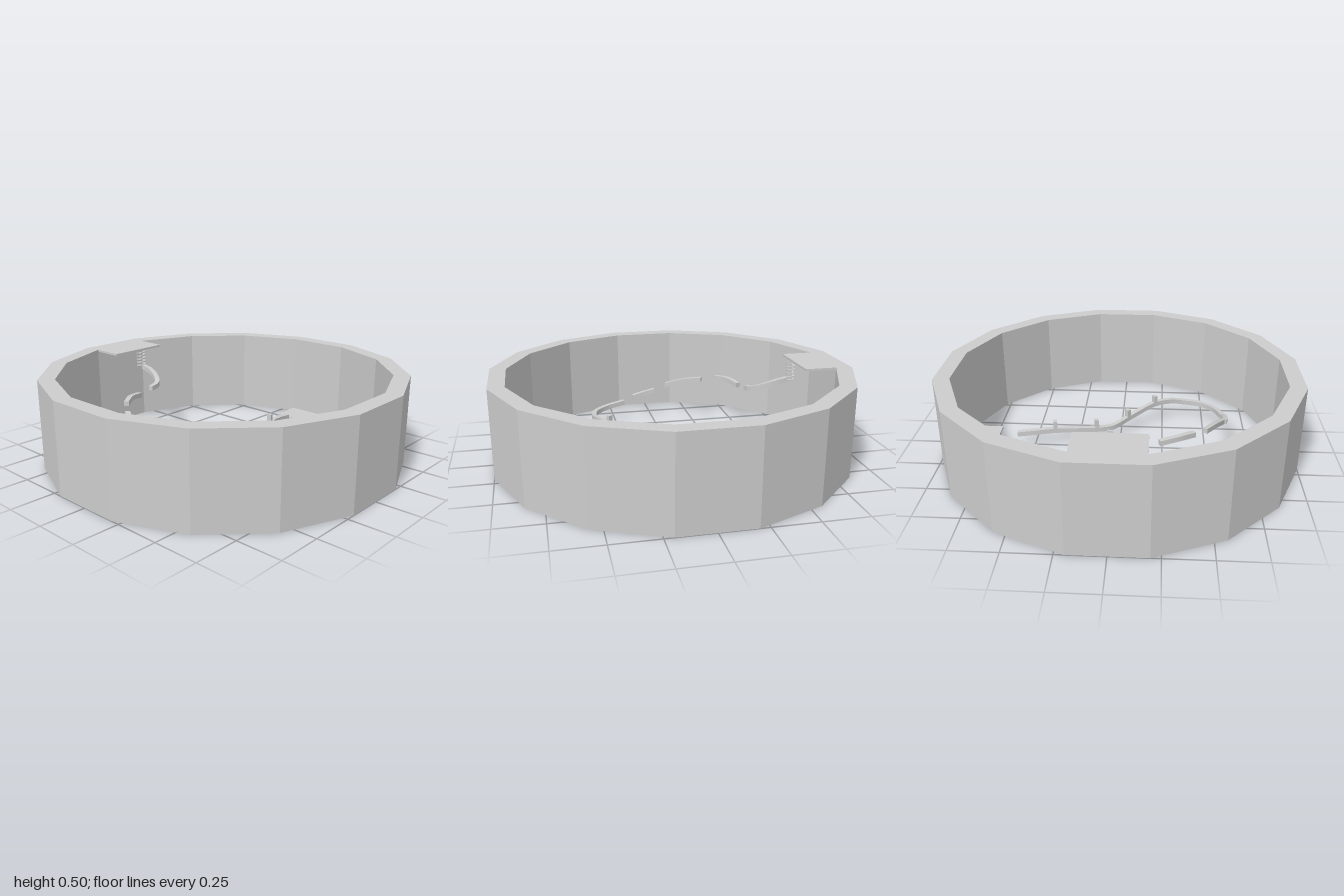
import * as THREE from 'three';

const stone = new THREE.MeshStandardMaterial({ color: 0xcccccc });
stone.name = 'light grey';

function add(group, name, geometry, x = 0, y = 0, z = 0) {
  const mesh = new THREE.Mesh(geometry, stone);
  mesh.name = name;
  mesh.position.set(x, y, z);
  group.add(mesh);
  return mesh;
}

// Sixteen-sided outline with flats facing the axes
function outline(path, apothem) {
  const r = apothem / Math.cos(Math.PI / 16);
  const points = [];
  for (let i = 0; i < 16; i++) {
    const a = (i + 0.5) * Math.PI / 8;
    points.push(new THREE.Vector2(r * Math.cos(a), r * Math.sin(a)));
  }
  return path.setFromPoints(points);
}

// Rectangular bar swept along points, kept upright, flat-shaded
function sweep(points, w, h) {
  const up = new THREE.Vector3(0, 1, 0);
  const pos = [], index = [];
  const n = points.length;
  points.forEach((p, i) => {
    const t = points[Math.min(i + 1, n - 1)].clone().sub(points[Math.max(i - 1, 0)]);
    const side = t.cross(up).normalize();
    for (const [a, b] of [[-1, -1], [1, -1], [1, 1], [-1, 1]]) {
      const c = p.clone().addScaledVector(side, a * w / 2).addScaledVector(up, b * h / 2);
      pos.push(c.x, c.y, c.z);
    }
    if (i < n - 1) {
      for (let j = 0; j < 4; j++) {
        const a = i * 4 + j, b = i * 4 + (j + 1) % 4;
        index.push(a, a + 4, b + 4, a, b + 4, b);
      }
    }
  });
  const e = (n - 1) * 4;
  index.push(0, 1, 2, 0, 2, 3, e, e + 2, e + 1, e, e + 3, e + 2);
  const geo = new THREE.BufferGeometry();
  geo.setAttribute('position', new THREE.Float32BufferAttribute(pos, 3));
  geo.setIndex(index);
  const flat = geo.toNonIndexed();
  flat.computeVertexNormals();
  return flat;
}

export function createModel() {
  const model = new THREE.Group();
  model.name = 'arena';

  // Outer wall
  const ring = outline(new THREE.Shape(), 1);
  ring.holes.push(outline(new THREE.Path(), 0.91));
  const wall = new THREE.ExtrudeGeometry(ring, { depth: 0.5, bevelEnabled: false });
  wall.rotateX(-Math.PI / 2);
  add(model, 'wall', wall);

  // High start ledge and low finish ledge
  add(model, 'startLedge', new THREE.BoxGeometry(0.36, 0.012, 0.184), 0, 0.494, -0.822);
  add(model, 'finishLedge', new THREE.BoxGeometry(0.184, 0.015, 0.36), 0.822, 0.0085, 0);

  // Square spiral stair below the start ledge
  const spiral = [];
  const turns = 5;
  for (let i = 0; i <= turns * 4; i++) {
    const a = Math.PI / 4 + i * Math.PI / 2;
    spiral.push(new THREE.Vector3(
      0.024 * Math.cos(a), 0.49 - 0.1 * i / (turns * 4), -0.709 + 0.024 * Math.sin(a)));
  }
  add(model, 'spiralStair', sweep(spiral, 0.012, 0.007));

  // Walkway: a broken run of stepping pieces, then one long winding path
  const walkways = [
    [[0, 0.395, -0.69], [-0.003, 0.38, -0.62], [-0.03, 0.35, -0.54], [-0.07, 0.33, -0.495], [-0.13, 0.32, -0.483]],
    [[-0.23, 0.305, -0.468], [-0.33, 0.315, -0.43], [-0.41, 0.31, -0.375]],
    [[-0.47, 0.285, -0.295], [-0.53, 0.265, -0.19], [-0.58, 0.23, -0.08]],
    [[-0.6, 0.19, -0.01], [-0.612, 0.17, 0.06], [-0.613, 0.15, 0.13]],
    [[-0.61, 0.12, 0.19], [-0.57, 0.105, 0.31], [-0.5, 0.1, 0.385], [-0.4, 0.105, 0.405],
      [-0.3, 0.12, 0.385], [-0.2, 0.122, 0.335], [-0.04, 0.085, 0.205], [0.05, 0.07, 0.115],
      [0.14, 0.075, 0.075], [0.38, 0.085, 0.03], [0.5, 0.08, 0.007], [0.6, 0.07, 0]],
  ];
  walkways.forEach((pts, i) => {
    const curve = new THREE.CatmullRomCurve3(pts.map(p => new THREE.Vector3(...p)));
    add(model, 'walkway' + (i + 1), sweep(curve.getPoints(i === 4 ? 48 : 10), 0.028, 0.028));
  });

  // Short hurdles standing on the winding path: x, y, z, heading
  const hurdles = [
    [-0.2, 0.152, 0.335, 0.6], [-0.04, 0.117, 0.205, 0.76],
    [0.14, 0.112, 0.075, 0.25], [0.38, 0.12, 0.03, 0.19],
  ];
  for (const [x, y, z, turn] of hurdles) {
    add(model, 'hurdle', new THREE.BoxGeometry(0.022, 0.05, 0.028), x, y, z).rotation.y = turn;
  }
  return model;
}
